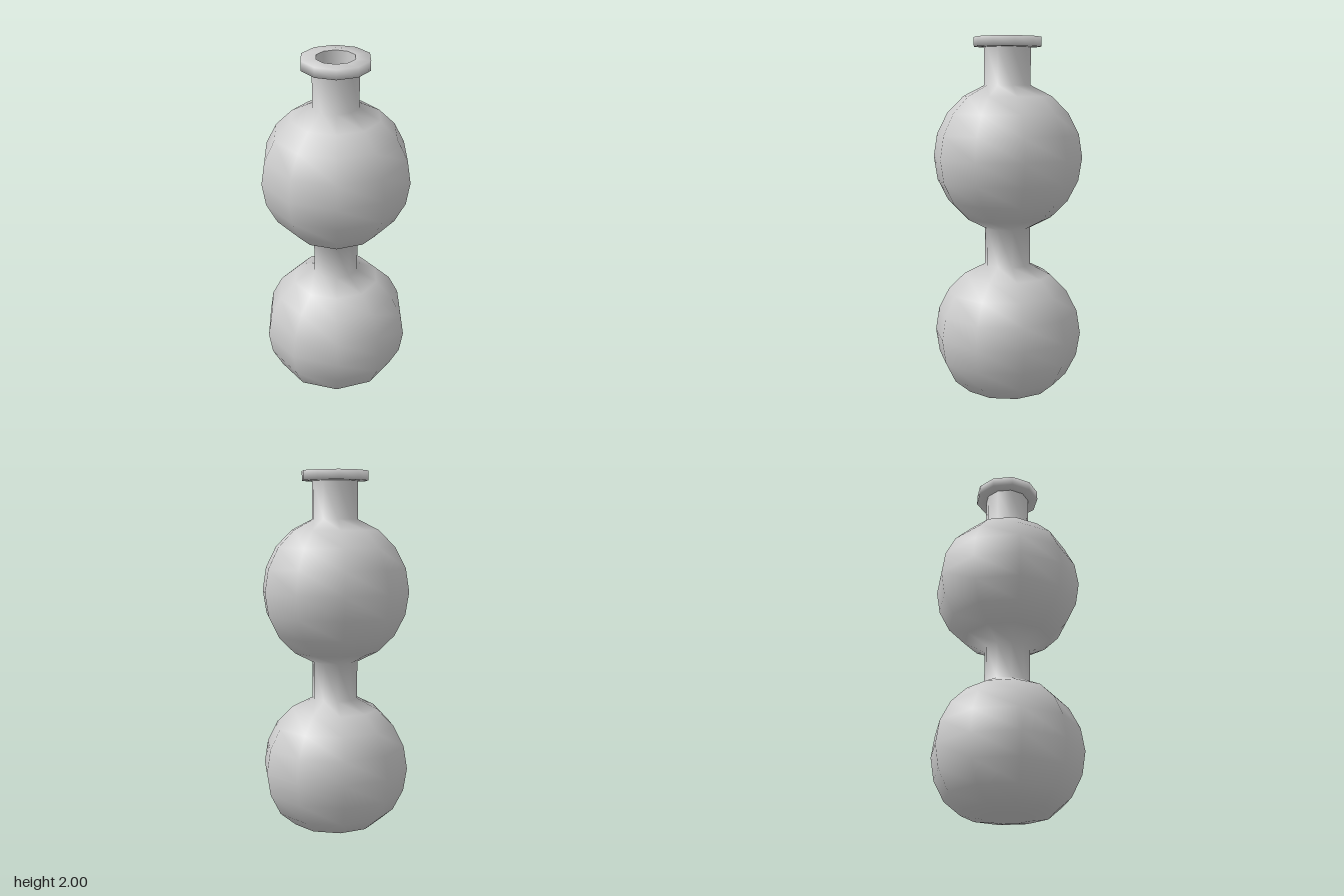
import * as THREE from 'three';

const SIDES = 10, R = 0.415;

// points of a globe profile at 18 degree steps, from one step to another
function globe(centerY, radius, from, to) {
  const points = [];
  const dir = Math.sign(to - from);
  for (let i = from; i !== to + dir; i += dir) {
    const a = i * Math.PI / 10;
    points.push([radius * Math.cos(a), centerY + radius * Math.sin(a)]);
  }
  return points;
}

export function createModel() {
  const group = new THREE.Group();
  const material = new THREE.MeshStandardMaterial({ color: 0xcccccc });

  function lathe(name, points) {
    const profile = points.map(([x, y]) => new THREE.Vector2(x, y));
    // start on the x axis so that corners lie at left and right
    const mesh = new THREE.Mesh(new THREE.LatheGeometry(profile, SIDES, Math.PI / 2), material);
    mesh.name = name;
    group.add(mesh);
  }

  // flattened foot, two globes joined by a neck, upper neck
  lathe('body', [
    [0, 0], [0.128, 0.003], [0.245, 0.025],
    ...globe(0.345, R, -2, 4),
    ...globe(1.345, R, -4, 4),
    [0.128, 1.945],
  ]);

  // flared lip around the mouth
  lathe('rim', [[0.128, 1.945], [0.185, 1.947], [0.185, 2], [0.105, 2]]);

  // hollow inside, from the mouth down to the floor
  lathe('innerWall', [
    [0.105, 2], [0.1, 1.94], [0.083, 1.72],
    ...globe(1.345, R - 0.03, 3, -3),
    [0.083, 0.97], [0.083, 0.72],
    ...globe(0.345, R - 0.03, 3, -2),
    [0.22, 0.06], [0, 0.04],
  ]);

  return group;
}
